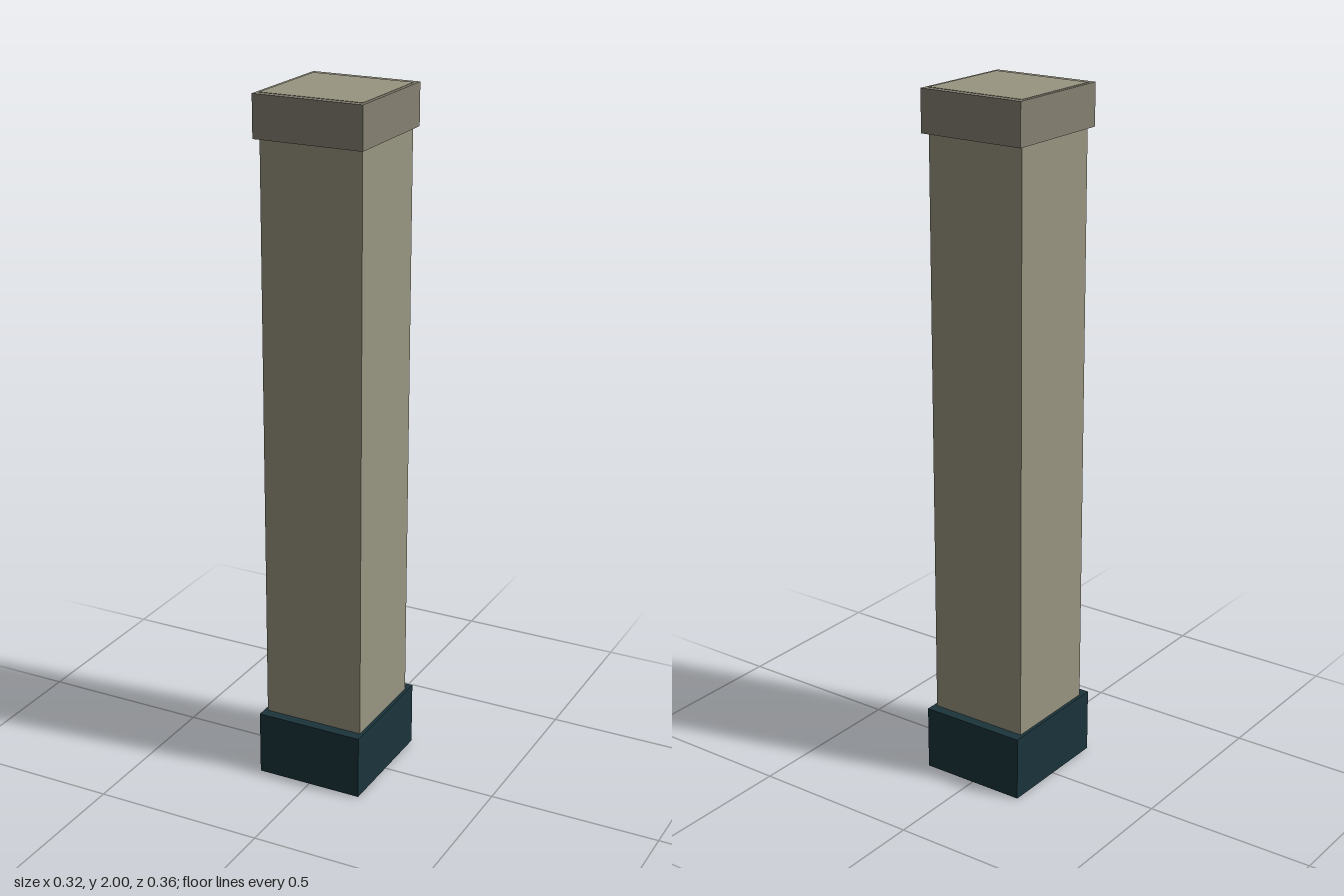
import * as THREE from 'three';

// Box standing between two heights, centred on the vertical axis
function block(name, width, depth, bottom, top, color) {
  const mesh = new THREE.Mesh(
    new THREE.BoxGeometry(width, top - bottom, depth),
    new THREE.MeshStandardMaterial({ color })
  );
  mesh.position.y = (bottom + top) / 2;
  mesh.name = name;
  return mesh;
}

export function createModel() {
  const model = new THREE.Group();
  model.name = 'pillar';

  // The shaft runs the full height; the base and cap wrap its ends,
  // set back by a hair so that the end faces do not coincide
  const gap = 0.001;
  model.add(
    block('shaft', 0.3, 0.3, 0, 2, 0x989580),
    block('base', 0.32, 0.36, gap, 0.19, 0x1b343b),
    block('cap', 0.32, 0.34, 1.88, 2 - gap, 0x858072)
  );
  return model;
}
